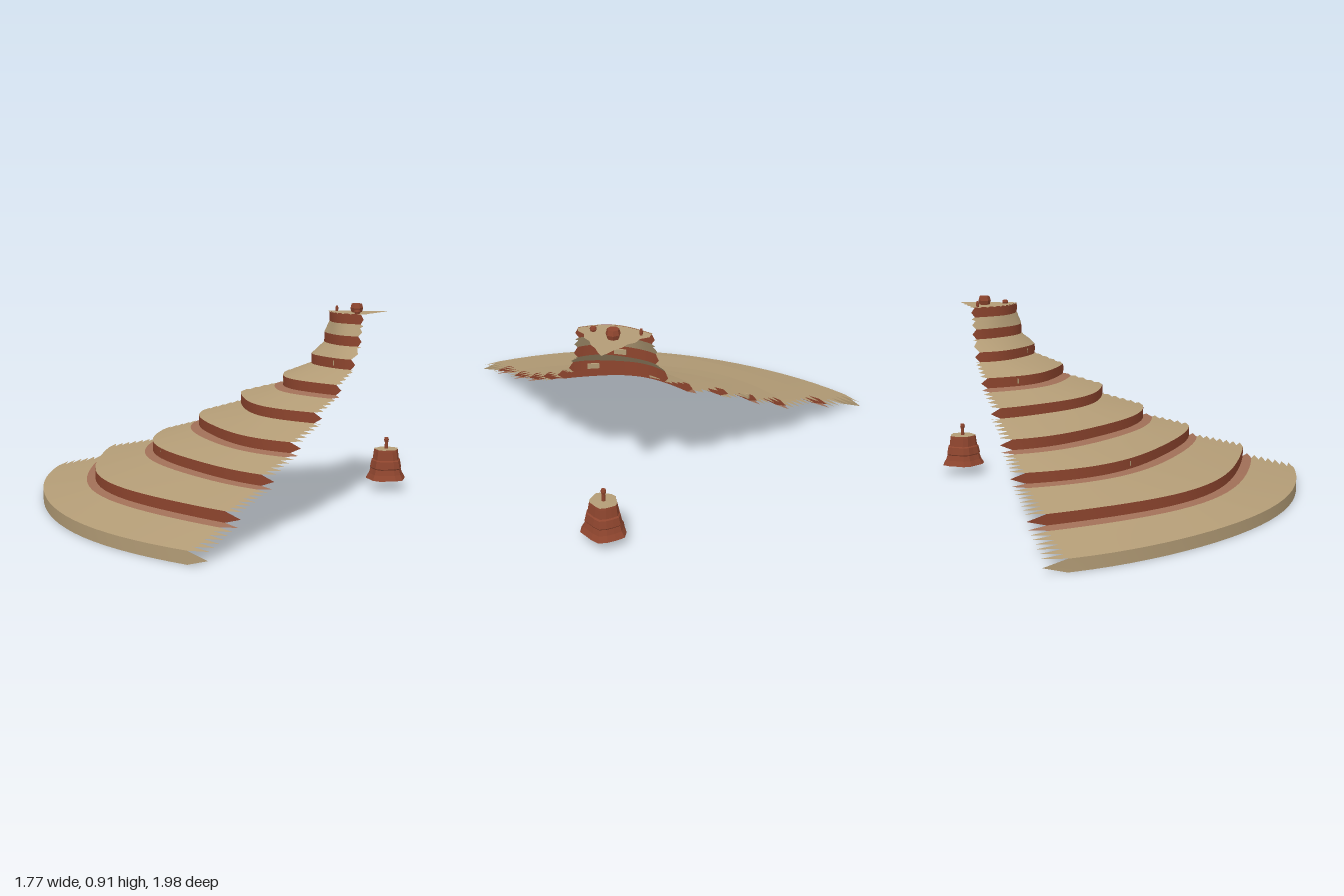
import * as THREE from 'three';

const D = THREE.DoubleSide;
const tan = new THREE.MeshStandardMaterial({ color: 0xb39c76, side: D });
tan.name = 'tan sandstone';
const red = new THREE.MeshStandardMaterial({ color: 0x8e452e, side: D });
red.name = 'red rock';
const talusMat = new THREE.MeshStandardMaterial({ color: 0xa06f57, side: D });
talusMat.name = 'reddish talus';

const CX = 0.78;                    // pivot of the fan
const RAD = Math.PI / 180;
const COLS = 24;
// ledge radii, outer rim first, with the height of each wall's foot and top
const radii = [1.66, 1.41, 1.12, 0.9, 0.71, 0.505, 0.36, 0.3, 0.28];
const foot = k => (k === 0 ? 0 : 0.01 + 0.1013 * k);
const head = k => (k === 0 ? 0.055 : 0.057 + 0.1013 * k);

const radiusAt = (k, a) => radii[k] * (1 + (k ? 0.013 : 0.004) * Math.sin(a * 7 + k * 1.7));

// ragged cut edges: every other row reaches further out at both ends
function angleAt(j, odd) {
  if (j === 0) return (odd ? -37 : -33.5) * RAD;
  if (j === COLS) return (odd ? 36.2 : 33) * RAD;
  return (-33 + 66 * (j - 1) / (COLS - 2)) * RAD;
}

// sheet of rows; at(i, angle) gives [radius, y]
function sheet(name, rows, at, material, parity = 0) {
  const pos = [], idx = [];
  for (let i = 0; i <= rows; i++) {
    for (let j = 0; j <= COLS; j++) {
      const a = angleAt(j, (i + parity) % 2);
      const [r, y] = at(i / rows, a);
      pos.push(CX - r * Math.cos(a), y, r * Math.sin(a));
      if (i < rows && j < COLS) {
        const p = i * (COLS + 1) + j, q = p + COLS + 1;
        idx.push(p, p + 1, q, p + 1, q + 1, q);
      }
    }
  }
  const g = new THREE.BufferGeometry();
  g.setAttribute('position', new THREE.Float32BufferAttribute(pos, 3));
  g.setIndex(idx);
  g.computeVertexNormals();
  const m = new THREE.Mesh(g, material);
  m.name = name;
  return m;
}

function rock(name, r, x, y, z, sy, material = red) {
  const m = new THREE.Mesh(new THREE.CylinderGeometry(r * 0.8, r * 0.8, sy, 7, 2), material);
  const p = m.geometry.attributes.position;
  for (let i = 0; i < p.count; i++) {
    if (Math.abs(p.getY(i)) < 1e-4) {
      p.setX(i, p.getX(i) * 1.25);
      p.setZ(i, p.getZ(i) * 1.25);
    }
  }
  m.geometry = m.geometry.toNonIndexed();
  m.geometry.computeVertexNormals();
  m.position.set(x, y, z);
  m.name = name;
  return m;
}

function createMesa() {
  const mesa = new THREE.Group();
  mesa.name = 'terracedSlope';
  const last = radii.length - 1;
  for (let k = 0; k <= last; k++) {
    // upright wall
    mesa.add(sheet(k ? 'cliff' : 'rim', 2, (t, a) =>
      [radiusAt(k, a), foot(k) + t * (head(k) - foot(k))], k ? red : tan));
    if (k === last) break;
    // terrace rising to the next wall, ending in a band of talus
    const gap = radii[k] - radii[k + 1];
    const band = [1, 2, 3, 5].includes(k + 1) ? 0.042 : 0.008;
    const split = 1 - Math.min(band / gap, 0.3);
    const slope = (t, a) => [
      THREE.MathUtils.lerp(radiusAt(k, a), radiusAt(k + 1, a), t),
      THREE.MathUtils.lerp(head(k), foot(k + 1), t)];
    const rows = 2 * Math.max(1, Math.round(gap * split / 0.037));
    mesa.add(sheet('terrace', rows, (t, a) => slope(t * split, a), tan));
    mesa.add(sheet('talus', 2, (t, a) => slope(split + t * (1 - split), a),
      band > 0.01 ? talusMat : tan));
  }
  // flat summit
  mesa.add(sheet('summit', 8, (t, a) => [radiusAt(last, a) * 1.02 * (1 - t), 0.866], tan));

  // pale stones set in the inner faces of the cliffs: [ledge, z]
  for (const [k, z] of [[7, -0.01], [6, 0.12], [5, -0.12], [4, 0.08], [3, 0.37], [3, -0.48], [2, -0.15]]) {
    const a = Math.asin(z / radii[k]), r = radiusAt(k, a) - 0.006;
    const m = new THREE.Mesh(new THREE.BoxGeometry(0.008, 0.022, 0.05), tan);
    m.position.set(CX - r * Math.cos(a), (foot(k) + head(k)) / 2, r * Math.sin(a));
    m.rotation.y = a;
    m.name = 'paleStone';
    mesa.add(m);
  }
  return mesa;
}

function createButte() {
  const butte = new THREE.Group();
  butte.name = 'butte';
  // stepped, fluted tower
  const profile = [[0.098, 0.05], [0.084, 0.075], [0.076, 0.1], [0.079, 0.105], [0.072, 0.14],
    [0.066, 0.145], [0.061, 0.185], [0.059, 0.195]].map(([x, y]) => new THREE.Vector2(x, y));
  const flute = g => {
    const p = g.attributes.position;
    for (let i = 0; i < p.count; i++) {
      const a = Math.atan2(p.getZ(i), p.getX(i));
      const s = 1 + 0.07 * Math.cos(a * 5) - 0.04 * Math.sin(a * 2);
      p.setX(i, p.getX(i) * s);
      p.setZ(i, p.getZ(i) * s);
    }
    const flat = g.toNonIndexed();
    flat.computeVertexNormals();
    return flat;
  };
  const tower = new THREE.Mesh(flute(new THREE.LatheGeometry(profile, 16)), red);
  tower.name = 'tower';
  const cap = new THREE.Mesh(
    flute(new THREE.LatheGeometry([new THREE.Vector2(0.059, 0.195), new THREE.Vector2(0, 0.196)], 16)), tan);
  cap.name = 'towerTop';
  const spire = new THREE.Mesh(new THREE.CylinderGeometry(0.007, 0.009, 0.05, 7), red);
  spire.position.y = 0.22;
  spire.name = 'spire';
  butte.add(tower, cap, spire, rock('spireHead', 0.012, 0, 0.24, 0, 0.022));
  butte.position.x = 0.785;
  return butte;
}

export function createModel() {
  const model = new THREE.Group();
  model.name = 'mesa';
  model.add(createMesa(), createButte());
  // loose rocks on the summit
  model.add(rock('boulder', 0.031, 0.615, 0.886, -0.01, 0.042));
  model.add(rock('smallBoulder', 0.015, 0.565, 0.874, 0.085, 0.018));
  model.add(rock('pinnacle', 0.007, 0.565, 0.878, -0.115, 0.03));
  return model;
}
